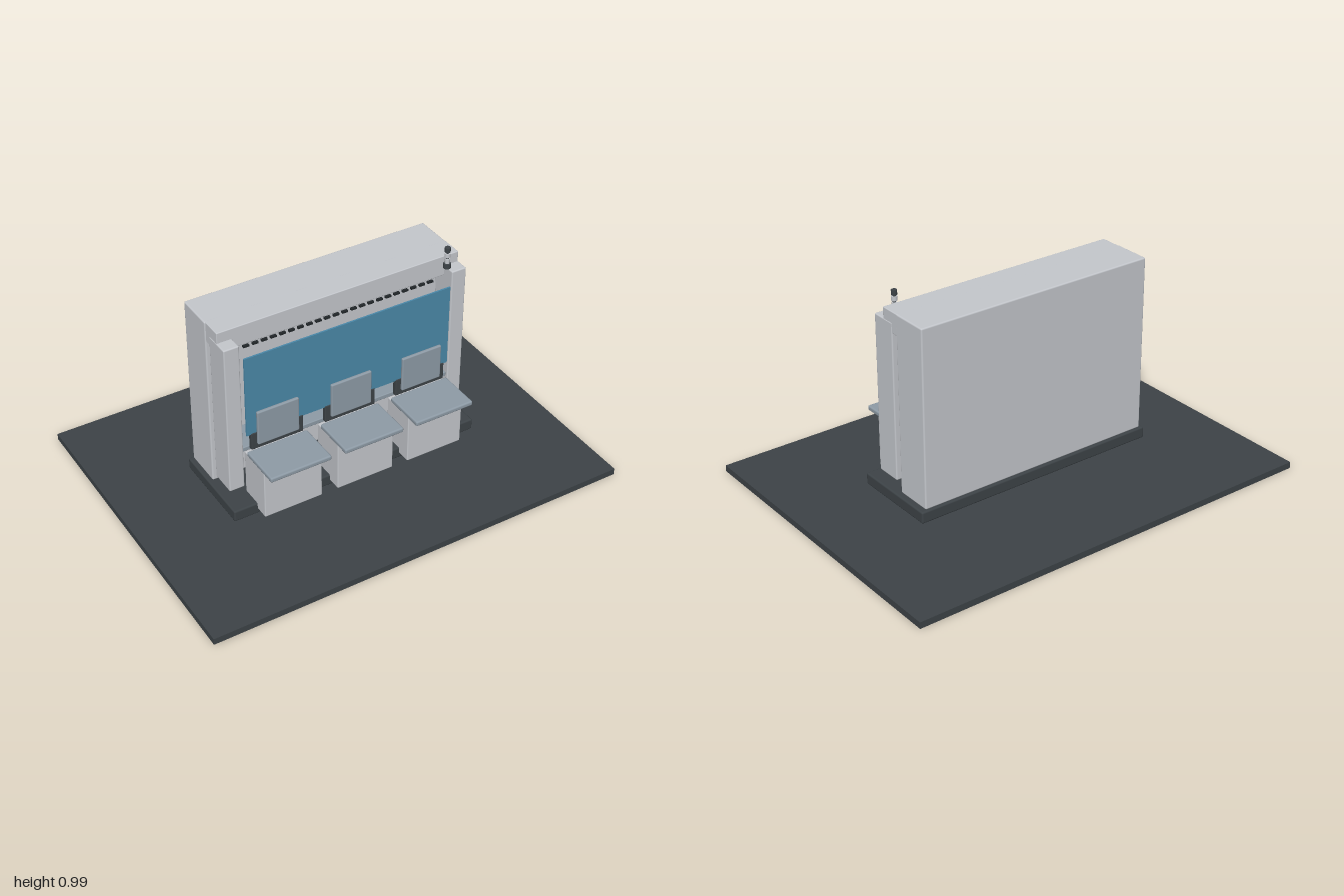
import * as THREE from 'three';
import { RoundedBoxGeometry } from 'three/addons/geometries/RoundedBoxGeometry.js';

const material = (name, color) => {
  const m = new THREE.MeshStandardMaterial({ color });
  m.name = name;
  return m;
};

export function createModel() {
  const root = new THREE.Group();
  root.name = 'workstation';

  const shell = material('light grey shell', 0xc4c7cc);
  const dark = material('dark grey', 0x3d4347);
  const pad = material('blue grey pad', 0x8e9ba6);
  const glass = material('blue panel', 0x4a88a8);
  const black = material('near black', 0x22272a);

  // Box given by its extents; r is the edge radius, 0 for sharp edges
  const box = (name, mat, [x0, x1], [y0, y1], [z0, z1], r = 0, parent = root) => {
    const s = [x1 - x0, y1 - y0, z1 - z0];
    const geo = r ? new RoundedBoxGeometry(...s, 2, r) : new THREE.BoxGeometry(...s);
    const mesh = new THREE.Mesh(geo, mat);
    mesh.name = name;
    mesh.position.set((x0 + x1) / 2, (y0 + y1) / 2, (z0 + z1) / 2);
    parent.add(mesh);
    return mesh;
  };

  // Floor and plinth
  box('floor', dark, [-1, 1], [0, 0.03], [-0.75, 0.75]);
  box('plinth', dark, [-0.61, 0.61], [0.05, 0.105], [-0.21, 0.21], 0.008);

  // Cabinet, header and side pillars
  box('cabinet', shell, [-0.59, 0.585], [0.105, 0.935], [-0.2, -0.02], 0.007);
  box('header', shell, [-0.585, 0.585], [0.837, 0.935], [-0.03, 0.072], 0.004);
  for (const side of [-1, 1]) {
    const xs = [0.515 * side, 0.587 * side].sort((a, b) => a - b);
    box('sidePillar', shell, xs, [0.15, 0.885], [0.008, 0.132], 0.006);
  }

  // Work shelf and the devices on it
  box('shelf', pad, [-0.515, 0.515], [0.328, 0.35], [-0.02, 0.12], 0.004);
  box('shelfDevice', dark, [-0.21, -0.12], [0.352, 0.425], [-0.018, 0.05], 0.004);
  box('sideDevice', dark, [0.478, 0.512], [0.385, 0.45], [-0.02, 0.03], 0.004);
  box('sideDeviceCap', black, [0.495, 0.512], [0.45, 0.47], [-0.018, 0.0], 0.003);

  // Front panel with a row of vents above it
  box('frontPanel', glass, [-0.503, 0.5], [0.425, 0.82], [0.136, 0.144]);
  const vents = 22;
  for (let i = 0; i < vents; i++) {
    const x = -0.47 + (i * 0.94) / vents;
    box('vent', black, [x, x + 0.027], [0.826, 0.835], [0.07, 0.082]);
  }

  // Three seats, each with a pedestal, bracket and backrest
  for (const x of [-0.358, 0, 0.357]) {
    const seat = new THREE.Group();
    seat.name = 'seat';
    seat.position.x = x;
    root.add(seat);
    box('pedestal', shell, [-0.14, 0.14], [0.075, 0.32], [0.108, 0.275], 0.005, seat);
    box('cushion', pad, [-0.146, 0.146], [0.317, 0.341], [0.14, 0.347], 0.008, seat);
    box('bracket', dark, [-0.125, 0.125], [0.345, 0.43], [0.124, 0.147], 0.004, seat);
    box('backSupport', dark, [-0.09, 0.09], [0.4, 0.53], [0.136, 0.147], 0.003, seat);
    box('backrest', pad, [-0.1, 0.1], [0.37, 0.54], [0.144, 0.16], 0.006, seat);
  }

  // Signal lamp on the left pillar
  const lamp = new THREE.Group();
  lamp.name = 'signalLamp';
  lamp.position.set(0.517, 0, 0.088);
  root.add(lamp);
  const rings = [
    ['lampBase', dark, 0.017, 0.884, 0.906],
    ['lampPole', dark, 0.007, 0.9, 0.97],
    ['lampLowerRing', shell, 0.011, 0.908, 0.93],
    ['lampUpperRing', shell, 0.013, 0.938, 0.957],
    ['lampCap', dark, 0.013, 0.963, 0.985],
  ];
  for (const [name, mat, r, y0, y1] of rings) {
    const mesh = new THREE.Mesh(new THREE.CylinderGeometry(r, r, y1 - y0, 20), mat);
    mesh.name = name;
    mesh.position.y = (y0 + y1) / 2;
    lamp.add(mesh);
  }

  return root;
}
